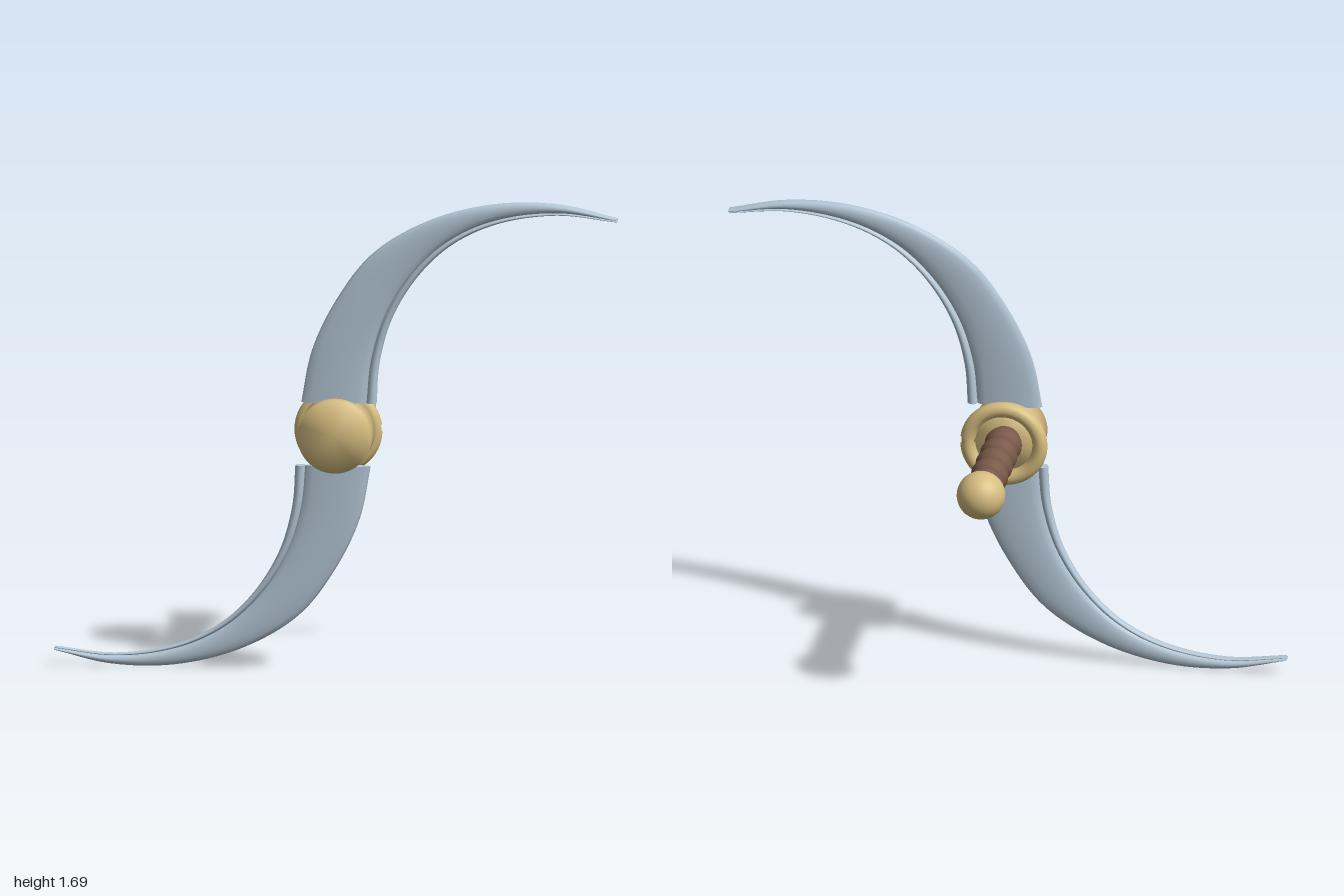
import * as THREE from 'three';
import { mergeVertices } from 'three/addons/utils/BufferGeometryUtils.js';

const HUB_Y = 0.85, BLADE_Z = 0.294;

function material(name, color) {
  const m = new THREE.MeshStandardMaterial({ color });
  m.name = name;
  return m;
}

// Skin a list of closed rings (arrays of Vector3), with creased end caps
function loft(rings) {
  const n = rings[0].length, pos = [], index = [];
  rings.forEach(r => r.forEach(p => pos.push(p.x, p.y, p.z)));
  for (let i = 0; i < rings.length - 1; i++) {
    for (let j = 0; j < n; j++) {
      const k = (j + 1) % n;
      const a = i * n + j, b = i * n + k, c = a + n, d = b + n;
      index.push(a, b, d, a, d, c);
    }
  }
  [rings[0], rings[rings.length - 1]].forEach((ring, end) => {
    const start = pos.length / 3;
    const mid = new THREE.Vector3();
    ring.forEach(p => { pos.push(p.x, p.y, p.z); mid.addScaledVector(p, 1 / n); });
    pos.push(mid.x, mid.y, mid.z);
    for (let j = 0; j < n; j++) {
      const a = start + j, b = start + (j + 1) % n;
      if (end) index.push(a, b, start + n);
      else index.push(b, a, start + n);
    }
  });
  const g = new THREE.BufferGeometry();
  g.setAttribute('position', new THREE.Float32BufferAttribute(pos, 3));
  g.setIndex(index);
  g.computeVertexNormals();
  return g;
}

const curve = pts => new THREE.CatmullRomCurve3(pts.map(([x, y]) => new THREE.Vector3(x, y - HUB_Y, 0)));

// Convex and concave outlines of the upper blade
const outer = curve([[-0.123, 0.963], [-0.085, 1.15], [0, 1.33], [0.13, 1.5],
  [0.33, 1.622], [0.57, 1.686], [0.8, 1.686], [0.998, 1.64]]);
const inner = curve([[0.144, 0.963], [0.155, 1.11], [0.2, 1.27], [0.29, 1.42],
  [0.41, 1.535], [0.57, 1.613], [0.78, 1.648], [0.995, 1.628]]);

function bladeGeometries() {
  const blade = [], rod = [], steps = 56, sides = 16;
  for (let i = 0; i <= steps; i++) {
    const t = i / steps;
    const o = outer.getPoint(t), e = inner.getPoint(t);
    const d = e.clone().sub(o).normalize();
    const r = THREE.MathUtils.lerp(0.018, 0.003, t);
    const rodMid = e.clone().addScaledVector(d, -r);
    const edge = e.clone().addScaledVector(d, -1.9 * r);
    const b = [], s = [];
    for (let j = 0; j < sides; j++) {
      const a = j / sides * Math.PI * 2, c = Math.cos(a), w = Math.sin(a);
      const p = o.clone().lerp(edge, 0.5 + 0.5 * c);
      p.z = -Math.sign(w) * Math.pow(Math.abs(w), 0.8) * 0.021;
      b.push(p);
      const q = rodMid.clone().addScaledVector(d, r * c);
      q.z = -w * THREE.MathUtils.lerp(0.02, 0.015, t);
      s.push(q);
    }
    blade.push(b);
    rod.push(s);
  }
  return [loft(blade), loft(rod)];
}

export function createModel() {
  const model = new THREE.Group();
  model.name = 'doubleCrescentBlade';
  const steel = material('steel', 0xb4c7d6);
  const brass = material('brass', 0xd6bd80);
  const leather = material('leather', 0x785848);

  const add = (name, geometry, mat, z, parent = model) => {
    const m = new THREE.Mesh(geometry, mat);
    m.name = name;
    m.position.set(0, parent === model ? HUB_Y : 0, z);
    parent.add(m);
    return m;
  };

  // Two blades, the lower one turned half way round the hub
  const [bladeGeo, rodGeo] = bladeGeometries();
  ['upperBlade', 'lowerBlade'].forEach((name, i) => {
    const g = new THREE.Group();
    g.name = name;
    g.position.set(0, HUB_Y, BLADE_Z);
    g.rotation.z = i * Math.PI;
    add('bladeBody', bladeGeo, steel, 0, g);
    add('innerEdgeRod', rodGeo, steel, 0, g);
    model.add(g);
  });

  // Hub drum with softly shaded rim
  let hub = new THREE.CylinderGeometry(0.131, 0.131, 0.122, 40);
  hub.deleteAttribute('normal');
  hub.deleteAttribute('uv');
  hub = mergeVertices(hub);
  hub.computeVertexNormals();
  add('hub', hub, brass, 0.294).rotation.x = Math.PI / 2;

  // Guard ring, with a narrow joint on its left side
  const gap = 0.14;
  add('guardRing', new THREE.TorusGeometry(0.129, 0.027, 16, 56, Math.PI * 2 - gap), brass, 0.208)
    .rotation.z = gap;
  add('ringJoint', new THREE.TorusGeometry(0.129, 0.023, 12, 6, gap + 0.1), brass, 0.208)
    .rotation.z = -0.05;

  // Grip with finger ridges
  const profile = [new THREE.Vector2(0, -0.23)];
  const ridges = 5, perRidge = 6, count = ridges * perRidge;
  for (let i = 0; i <= count; i++) {
    const r = 0.061 - 0.006 * Math.cos(i / perRidge * Math.PI * 2);
    profile.push(new THREE.Vector2(r, -0.23 + 0.47 * i / count));
  }
  add('grip', new THREE.LatheGeometry(profile, 24), leather, 0).rotation.x = Math.PI / 2;

  add('pommel', new THREE.SphereGeometry(0.086, 32, 20), brass, -0.266);
  return model;
}
